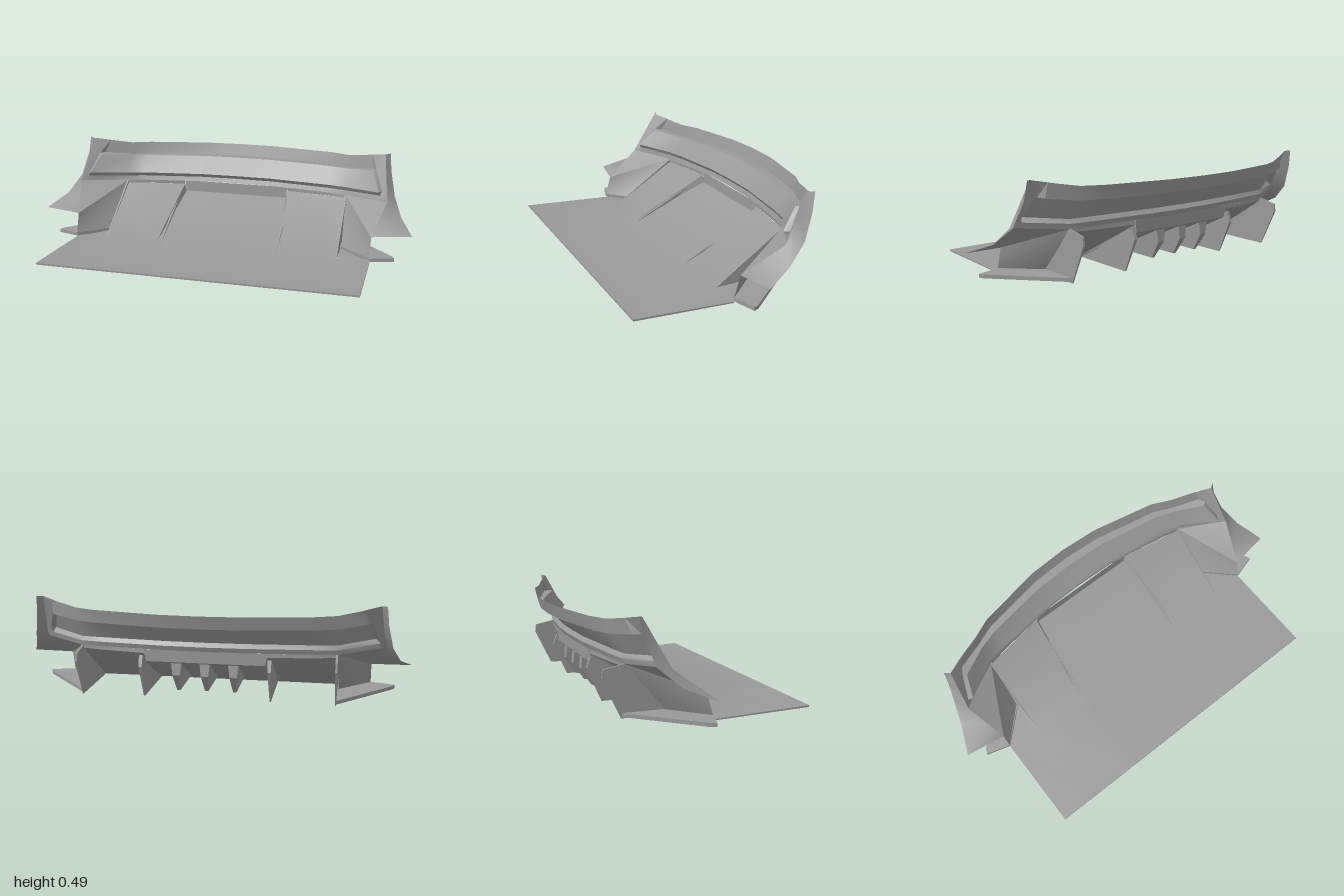
import * as THREE from 'three';
import { mergeGeometries, toCreasedNormals } from 'three/addons/utils/BufferGeometryUtils.js';

const material = new THREE.MeshStandardMaterial({ color: 0x999999, side: THREE.DoubleSide });
const lerp = THREE.MathUtils.lerp;

function mesh(name, geometry) {
  const m = new THREE.Mesh(geometry, material);
  m.name = name;
  return m;
}

// Surface lofted through equally long rows of [x, y, z] points
function loft(rows) {
  const n = rows[0].length, index = [];
  for (let i = 0; i < rows.length - 1; i++)
    for (let j = 0; j < n - 1; j++) {
      const a = i * n + j, b = a + n;
      index.push(a, a + 1, b, b, a + 1, b + 1);
    }
  const g = new THREE.BufferGeometry();
  g.setAttribute('position', new THREE.Float32BufferAttribute(rows.flat(2), 3));
  g.setIndex(index);
  return g.toNonIndexed();
}

// One or more lofts joined into a thin sheet, smooth except at sharp folds
function sheet(name, ...lofts) {
  return mesh(name, toCreasedNormals(mergeGeometries(lofts.map(loft)), 0.62));
}

// Upright fin from a [z, y] outline; half width goes from wBottom to wTop with height
function fin(name, x, outline, wBottom, wTop) {
  const shape = new THREE.Shape(outline.map(([z, y]) => new THREE.Vector2(-z, y)));
  const g = new THREE.ExtrudeGeometry(shape, { depth: 2, bevelEnabled: false });
  g.translate(0, 0, -1);
  g.rotateY(Math.PI / 2);
  const p = g.attributes.position;
  for (let i = 0; i < p.count; i++)
    p.setX(i, x + p.getX(i) * lerp(wBottom, wTop, Math.min(1, p.getY(i) / 0.2)));
  g.computeVertexNormals();
  return mesh(name, g);
}

// Rear skin columns: top point, bottom point, strength of the raised panel
const columns = [
  [0, 0.455, -0.525, 0, 0.255, -0.39, 1],
  [0.2, 0.455, -0.515, 0.2, 0.255, -0.385, 1],
  [0.53, 0.455, -0.45, 0.53, 0.252, -0.345, 1],
  [0.63, 0.455, -0.405, 0.63, 0.25, -0.325, 1],
  [0.74, 0.473, -0.36, 0.83, 0.263, -0.213, 1],
  [0.76, 0.477, -0.35, 0.845, 0.264, -0.202, 0],
  [0.83, 0.49, -0.315, 0.86, 0.265, -0.19, 0],
];
// Height and depth fractions from top to bottom: lip, ledge, panel, undercut
const heights = [0, 0.325, 0.33, 0.78, 0.88, 1];
const depths = [0, 0.15, 0.47, 1.05, 0.92, 1];

function skinColumn([xt, yt, zt, xb, yb, zb, panel], side) {
  return heights.map((h, i) => [
    side * lerp(xt, xb, h),
    lerp(yt, yb, h),
    lerp(zt, zb, lerp(h, depths[i], panel)),
  ]);
}

// Floor strip between two x positions, ending in the given rear points
function floorStrip(xa, xb, rear) {
  const row = (y, z) => [[xa, y, z], [xb, y, z]];
  return [row(0.024, 0.52), row(0.006, 0.03), rear];
}

// Mirror a loft to -x, keeping its winding
const mirror = (rows) => rows.map((r) => r.map(([x, y, z]) => [-x, y, z]).reverse());

// Parts of one side, built on +x
function buildSide() {
  const side = new THREE.Group();

  // Flared wing beside the skin, closed below by a gusset
  const corner = [0.8, 0.13, 0];
  const inner = [[0.83, 0.49, -0.315], [0.845, 0.3775, -0.2525], [0.86, 0.265, -0.19], [0.83, 0.1975, -0.095], corner];
  const outer = [[0.855, 0.492, -0.335], [0.865, 0.4, -0.32], [0.892, 0.28, -0.27], [0.935, 0.195, -0.17], [1, 0.14, -0.03]];
  const brim = columns.slice(3).map((c) => c.slice(3, 6));
  side.add(sheet('sideWing', [outer, inner], [brim, [brim[0], corner, corner, corner]]));

  // Panel slanting inward from the wing to the outer fin
  side.add(sheet('cornerPanel', [
    [corner, [0.63, 0.25, -0.325]],
    [[0.8, 0.025, 0.03], [0.64, 0.025, -0.13]],
  ]));

  // Horizontal winglet at the bottom corner
  const plate = new THREE.Shape([[0.8, 0.03], [0.92, -0.005], [0.91, -0.03], [0.63, -0.34], [0.63, -0.13]]
    .map(([x, z]) => new THREE.Vector2(x, -z)));
  const winglet = mesh('cornerWinglet', new THREE.ExtrudeGeometry(plate, { depth: 0.018, bevelEnabled: false }));
  winglet.rotation.x = -Math.PI / 2;
  winglet.position.y = 0.008;
  side.add(winglet);

  // Step between the ramps and the lip under the skin
  side.add(sheet('channelWall', [
    [[0.34, 0.006, 0.03], [0.34, 0.006, 0.03]],
    [[0.3, 0.235, -0.38], [0.29, 0.195, -0.38]],
  ]));
  side.add(sheet('rampLip', [
    [[0.3, 0.235, -0.38], [0.53, 0.235, -0.345], [0.62, 0.235, -0.325]],
    [[0.3, 0.255, -0.378], [0.53, 0.252, -0.345], [0.63, 0.25, -0.325]],
  ]));

  // Large fins
  side.add(fin('outerFin', 0.63, [[0.03, 0.005], [-0.34, 0.002], [-0.43, 0.19], [-0.425, 0.23], [-0.325, 0.25]], 0.003, 0.005));
  side.add(fin('largeFin', 0.315, [[0.04, 0.004], [-0.33, 0.002], [-0.405, 0.17], [-0.385, 0.225]], 0.003, 0.009));
  return side;
}

export function createModel() {
  const model = new THREE.Group();
  model.name = 'rearBumperWithDiffuser';

  // Floor running smoothly into the diffuser ramps
  const outerRamp = floorStrip(0.34, 0.635, [[0.3, 0.235, -0.38], [0.625, 0.235, -0.325]]);
  const floorCorner = floorStrip(0.635, 0.8, [[0.635, 0.012, -0.13], [0.64, 0.012, -0.13]]);
  const middleRamp = floorStrip(-0.34, 0.34, [[-0.29, 0.195, -0.38], [0.29, 0.195, -0.38]]);
  model.add(sheet('floorAndRamps', middleRamp, outerRamp, floorCorner, mirror(outerRamp), mirror(floorCorner)));

  // Thin edge around the floor
  const rim = [[-0.8, 0.006, 0.03], [-0.8, 0.024, 0.52], [0.8, 0.024, 0.52], [0.8, 0.006, 0.03]];
  model.add(sheet('floorEdge', [rim, rim.map(([x, y, z]) => [x, Math.max(0, y - 0.009), z])]));

  // Rear step of the middle channel
  model.add(sheet('channelStep', [
    [[-0.29, 0.195, -0.38], [0.29, 0.195, -0.38]],
    [[-0.3, 0.255, -0.382], [0.3, 0.255, -0.382]],
  ]));

  // Three small fins under the channel
  for (const x of [-0.14, 0, 0.14])
    model.add(fin('smallFin', x, [[-0.05, 0.042], [-0.325, 0.04], [-0.385, 0.13], [-0.38, 0.19]], 0.004, 0.026));

  // Curved skin across the rear
  const left = columns.slice(1).reverse().map((c) => skinColumn(c, -1));
  const right = columns.map((c) => skinColumn(c, 1));
  model.add(sheet('rearSkin', [...left, ...right]));

  for (const s of [1, -1]) {
    const side = buildSide();
    side.name = s > 0 ? 'leftSide' : 'rightSide';
    side.scale.x = s;
    model.add(side);
  }
  return model;
}
